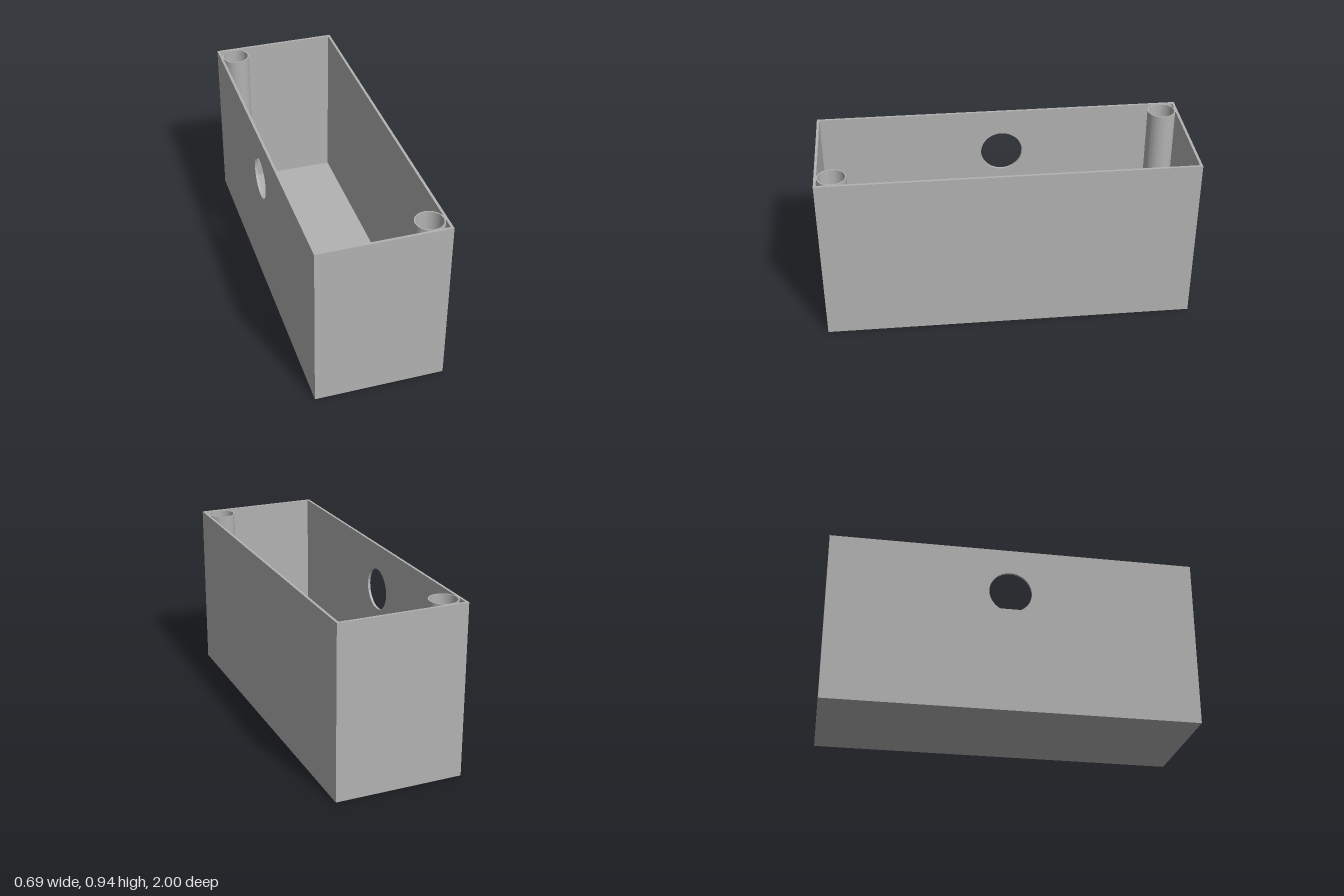
import * as THREE from 'three';
import { toCreasedNormals } from 'three/addons/utils/BufferGeometryUtils.js';

const W = 0.347, L = 1, H = 0.94; // half width, half length, height
const T = 0.014;                  // wall thickness
const HOLE = { z: -0.02, y: 0.685, r: 0.116 };
const TUBE = { x: 0.257, z: 0.91, r: 0.077, wall: 0.007 };

export function createModel() {
  const group = new THREE.Group();
  const grey = new THREE.MeshStandardMaterial({ color: 0xb3b3b3 });
  grey.name = 'plain grey';

  const add = (name, geometry, x, y, z) => {
    const mesh = new THREE.Mesh(geometry, grey);
    mesh.name = name;
    mesh.position.set(x, y, z);
    group.add(mesh);
  };
  const circle = (Type, x, y, r) => new Type().absarc(x, y, r, 0, Math.PI * 2, false);
  const extrude = (shape, depth) => toCreasedNormals(
    new THREE.ExtrudeGeometry(shape, { depth, bevelEnabled: false, curveSegments: 48 }), 0.5);

  // Floor, plain side wall and the two end walls
  add('floor', new THREE.BoxGeometry(2 * (W - T), T, 2 * (L - T)), 0, T / 2, 0);
  add('leftWall', new THREE.BoxGeometry(T, H, 2 * L), W - T / 2, H / 2, 0);
  for (const s of [1, -1]) {
    add(s > 0 ? 'frontWall' : 'backWall',
      new THREE.BoxGeometry(2 * (W - T), H, T), 0, H / 2, s * (L - T / 2));
  }

  // Side wall with a round opening, drawn in z and y
  const wall = new THREE.Shape([
    new THREE.Vector2(-L, 0), new THREE.Vector2(L, 0),
    new THREE.Vector2(L, H), new THREE.Vector2(-L, H),
  ]);
  wall.holes.push(circle(THREE.Path, HOLE.z, HOLE.y, HOLE.r));
  add('rightWallWithOpening', extrude(wall, T).rotateY(-Math.PI / 2), -W + T, 0, 0);

  // Hollow corner tubes in opposite corners, standing on the floor
  const ring = circle(THREE.Shape, 0, 0, TUBE.r);
  ring.holes.push(circle(THREE.Path, 0, 0, TUBE.r - TUBE.wall));
  const tube = extrude(ring, H - T).rotateX(-Math.PI / 2);
  for (const s of [1, -1]) {
    add(s > 0 ? 'frontCornerTube' : 'backCornerTube', tube, s * TUBE.x, T, s * TUBE.z);
  }

  return group;
}
